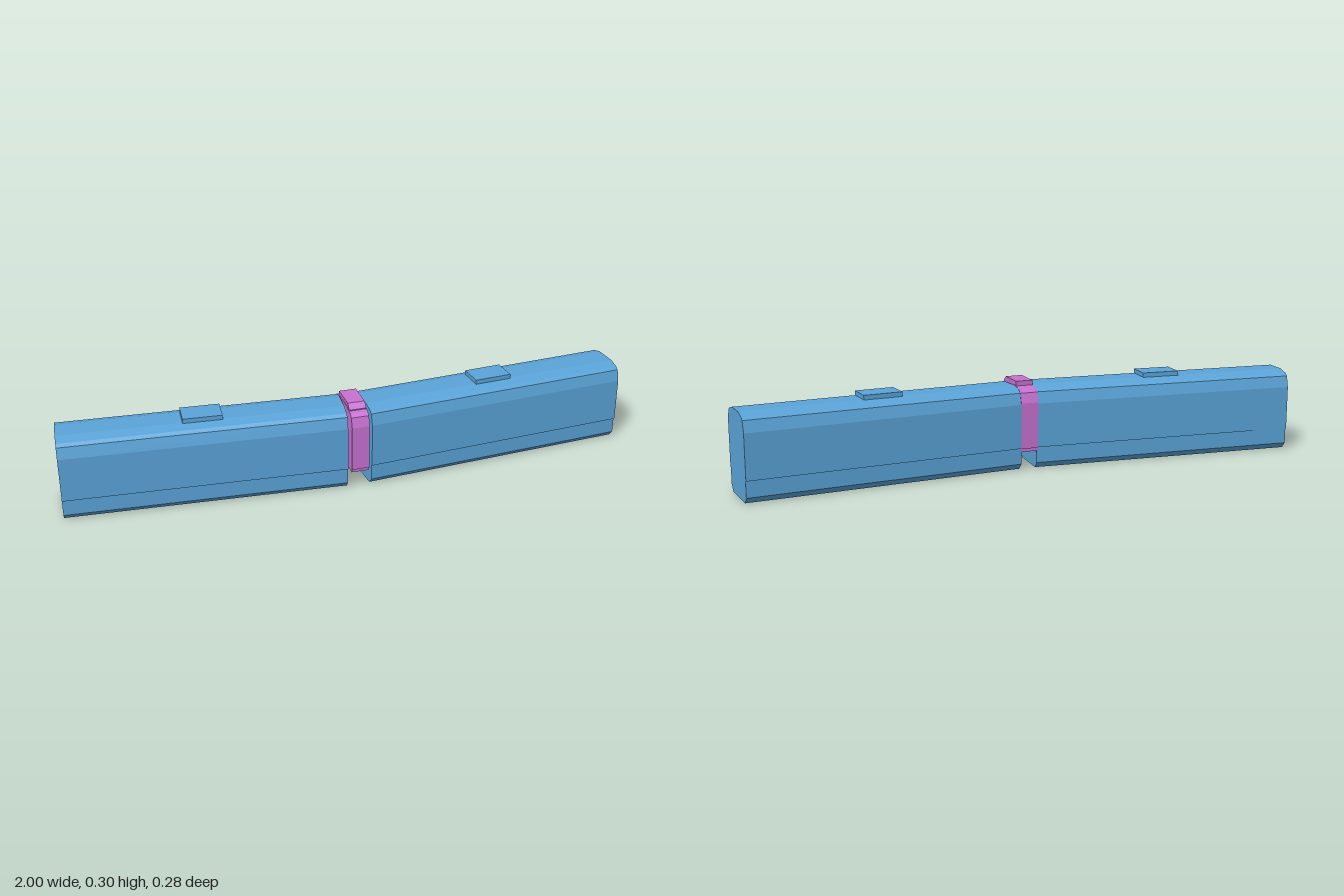
import * as THREE from 'three';

const blue = new THREE.MeshStandardMaterial({ color: 0x5aa4d8 });
blue.name = 'blue casing';
const violet = new THREE.MeshStandardMaterial({ color: 0xc872d2 });
violet.name = 'violet joint';

// Extrudes a [z, y] outline along x, centred on x = 0
function bar(outline, length) {
  const shape = new THREE.Shape(outline.map(([z, y]) => new THREE.Vector2(-z, y)));
  const geometry = new THREE.ExtrudeGeometry(shape, { depth: length, bevelEnabled: false });
  return geometry.translate(0, 0, -length / 2).rotateY(Math.PI / 2);
}

function part(name, geometry, material, parent) {
  const mesh = new THREE.Mesh(geometry, material);
  mesh.name = name;
  parent.add(mesh);
  return mesh;
}

// Mirrors half of an outline, listed from bottom to top, across z = 0
const mirrored = (half) => [...half, ...half.map(([z, y]) => [-z, y]).reverse()];

export function createModel() {
  const model = new THREE.Group();
  model.name = 'hingedBar';

  // Casing section: chamfered foot, small side step, rounded shoulders
  const casing = mirrored([
    [0.075, 0], [0.094, 0.021], [0.094, 0.077], [0.099, 0.077],
    [0.099, 0.231], [0.088, 0.27], [0.076, 0.279], [0.04, 0.289],
  ]);
  const casingGeometry = bar(casing, 0.96);
  const padGeometry = new THREE.BoxGeometry(0.134, 0.03, 0.087);

  // Two halves, swept back from the middle
  for (const side of [1, -1]) {
    const half = new THREE.Group();
    half.name = side > 0 ? 'leftHalf' : 'rightHalf';
    half.position.set(side * 0.514, 0, -0.0035);
    half.rotation.y = side * 0.0745;
    part('casing', casingGeometry, blue, half);
    part('topPad', padGeometry, blue, half).position.y = 0.289;
    model.add(half);
  }

  // Joint band that fills the gap, open at the foot
  const band = mirrored([
    [0.098, 0.064], [0.098, 0.076], [0.103, 0.076],
    [0.103, 0.235], [0.093, 0.27], [0.08, 0.28], [0.04, 0.29],
  ]);
  part('jointBand', bar(band, 0.062), violet, model).position.z = 0.035;

  // Raised latch on top of the joint
  const latch = [[0.102, 0.28], [0.102, 0.287], [0.083, 0.304], [-0.016, 0.304], [-0.016, 0.28]];
  part('jointLatch', bar(latch, 0.06), violet, model);

  return model;
}
